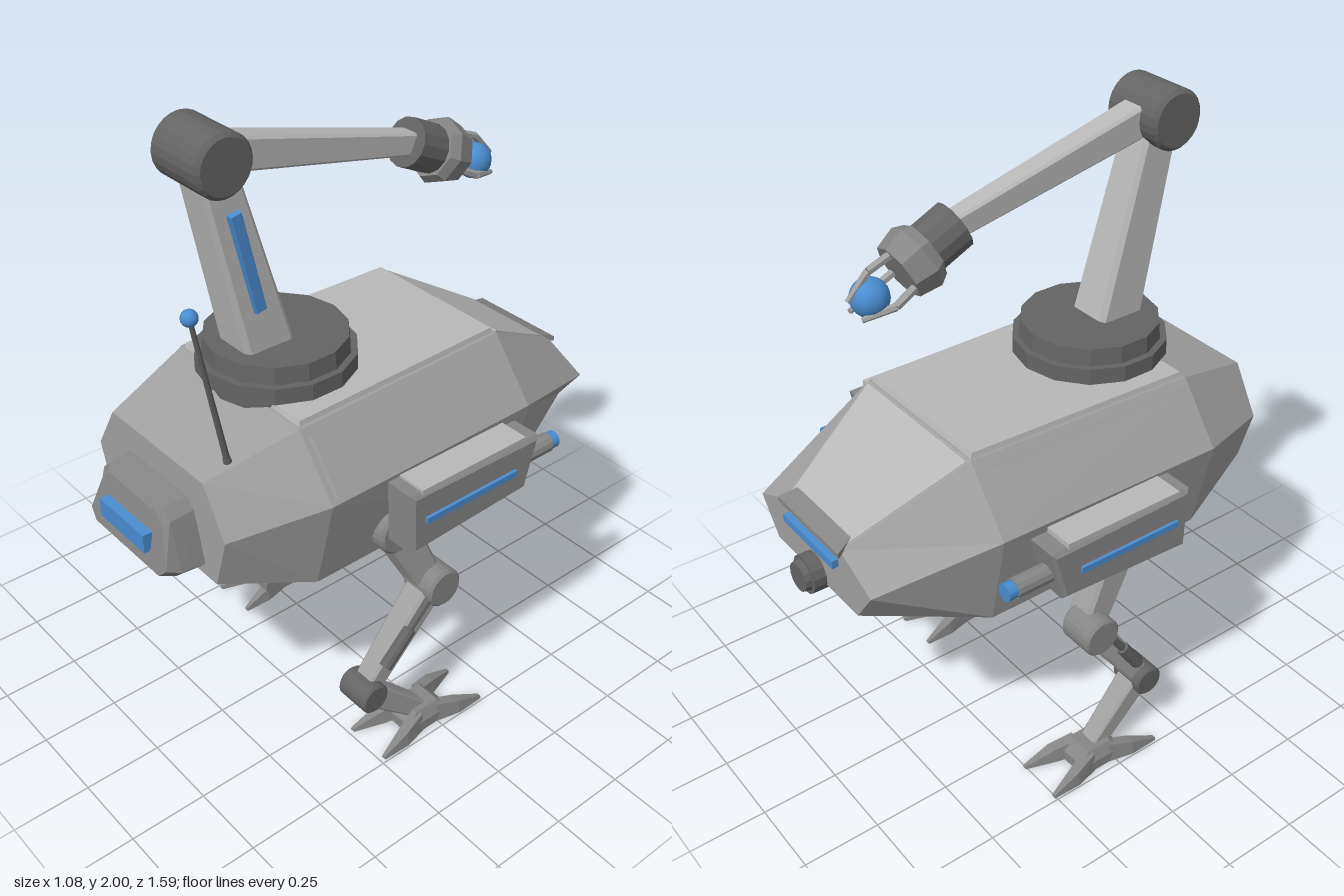
import * as THREE from 'three';

const paint = (color, flatShading = true) => new THREE.MeshStandardMaterial({ color, flatShading });
const grey = paint(0xa0a0a0);
const light = paint(0xb8b8b8);
const mid = paint(0x868686);
const dark = paint(0x646464);
const blue = paint(0x4a8cd0, false);
const V = (x, y, z) => new THREE.Vector3(x, y, z);

export function createModel() {
  const model = new THREE.Group();

  function add(name, geometry, material = grey) {
    const mesh = new THREE.Mesh(geometry, material);
    mesh.name = name;
    model.add(mesh);
    return mesh;
  }

  // Solid skinned over rings of points, with flat end caps
  function loft(name, rings, material = grey) {
    const tris = [];
    const n = rings[0].length;
    for (let r = 0; r < rings.length - 1; r++) {
      for (let i = 0; i < n; i++) {
        const j = (i + 1) % n, a = rings[r], b = rings[r + 1];
        tris.push([a[i], a[j], b[j]], [a[i], b[j], b[i]]);
      }
    }
    const first = rings[0], last = rings[rings.length - 1];
    for (let i = 1; i < n - 1; i++) {
      tris.push([first[0], first[i + 1], first[i]], [last[0], last[i], last[i + 1]]);
    }
    // Signed volume decides which way the faces must wind
    const volume = tris.reduce((s, [a, b, c]) => s + a.dot(b.clone().cross(c)), 0);
    if (volume < 0) tris.forEach((t) => t.reverse());
    const geometry = new THREE.BufferGeometry().setFromPoints(tris.flat());
    geometry.computeVertexNormals();
    return add(name, geometry, material);
  }

  // Tapered, chamfered bar from a to b: w is width in x, d is depth
  function bar(name, a, b, wa, da, wb, db, material = grey) {
    const dir = b.clone().sub(a).normalize();
    const up = V(1, 0, 0).cross(dir).normalize();
    const ring = (p, w, d) => {
      const c = Math.min(w, d) * 0.1, x = w / 2, y = d / 2;
      return [[x, y - c], [x - c, y], [c - x, y], [-x, y - c], [-x, c - y], [c - x, -y], [x - c, -y], [x, c - y]]
        .map(([u, v]) => V(p.x + u, p.y, p.z).addScaledVector(up, v));
    };
    return loft(name, [ring(a, wa, da), ring(b, wb, db)], material);
  }

  // Thin plate raised from four corners along their normal
  function plate(name, corners, t, material, side = 1) {
    const [a, b, , d] = corners;
    const normal = b.clone().sub(a).cross(d.clone().sub(a)).normalize().multiplyScalar(side);
    const middle = corners.reduce((s, p) => s.add(p), V(0, 0, 0)).multiplyScalar(0.25);
    const top = corners.map((p) => p.clone().lerp(middle, 0.03).addScaledVector(normal, t));
    return loft(name, [corners.map((p) => p.clone().addScaledVector(normal, -0.02)), top], material);
  }

  function rod(name, a, b, ra, rb, sides = 12, material = grey) {
    const mesh = add(name, new THREE.CylinderGeometry(rb, ra, a.distanceTo(b), sides), material);
    mesh.position.copy(a).lerp(b, 0.5);
    mesh.quaternion.setFromUnitVectors(V(0, 1, 0), b.clone().sub(a).normalize());
    return mesh;
  }

  // Drum with chamfered rims, lying along x
  function drum(name, p, r, length, material) {
    const c = r * 0.13, h = length / 2;
    const profile = [[0, -h], [r - c, -h], [r, c - h], [r, h - c], [r - c, h], [0, h]]
      .map(([x, y]) => new THREE.Vector2(x, y));
    const mesh = add(name, new THREE.LatheGeometry(profile, 24), material);
    mesh.rotation.z = Math.PI / 2;
    mesh.position.copy(p);
  }

  function box(name, p, w, h, d, material = grey) {
    add(name, new THREE.BoxGeometry(w, h, d), material).position.copy(p);
  }

  function ball(name, p, r) {
    add(name, new THREE.SphereGeometry(r, 20, 14), blue).position.copy(p);
  }

  // Hull: z, top y and half width, waist y and half width, bottom y and half width
  const hull = [
    [0.66, 1.11, 0.22, 0.96, 0.31, 0.79, 0.26],
    [0.38, 1.19, 0.28, 1.01, 0.42, 0.705, 0.35],
    [-0.38, 1.195, 0.26, 1.01, 0.41, 0.705, 0.35],
    [-0.74, 0.99, 0.15, 0.92, 0.3, 0.81, 0.22],
  ].map(([z, ty, tx, my, mx, by, bx]) => [
    V(tx, ty, z), V(mx, my, z), V(bx, by, z), V(-bx, by, z), V(-mx, my, z), V(-tx, ty, z)]);
  loft('hull', hull);
  plate('topPanel', [V(-0.275, 1.19, 0.38), V(0.275, 1.19, 0.38), V(0.255, 1.195, -0.38), V(-0.255, 1.195, -0.38)], 0.016, light);
  plate('nosePanel', [V(-0.258, 1.194, -0.382), V(0.258, 1.194, -0.382), V(0.15, 0.99, -0.738), V(-0.15, 0.99, -0.738)], 0.003, light);
  for (const s of [1, -1]) {
    plate('shoulderPanel', [V(s * 0.298, 1.168, 0.37), V(s * 0.41, 1.022, 0.37),
      V(s * 0.402, 1.022, -0.335), V(s * 0.28, 1.17, -0.335)], 0.012, grey, s);
  }

  // Belly plate
  const belly = (y, i) => [V(0.27 - i, y, 0.5 - i), V(0.27 - i, y, -0.36 + i), V(-0.27 + i, y, -0.36 + i), V(-0.27 + i, y, 0.5 - i)];
  loft('bellyPlate', [belly(0.71, 0), belly(0.682, 0), belly(0.67, 0.012)], mid);

  // Rear housing and lamp
  const rear = (z, ty, tx, by, bx, c = 0.03) => [
    V(tx - c, ty, z), V(tx, ty - c, z), V(bx, by + c, z), V(bx - c, by, z),
    V(c - bx, by, z), V(-bx, by + c, z), V(-tx, ty - c, z), V(c - tx, ty, z)];
  const housing = [rear(0.64, 1.025, 0.17, 0.8, 0.21), rear(0.735, 1.015, 0.165, 0.805, 0.205), rear(0.765, 0.995, 0.15, 0.82, 0.19)];
  housing[2].forEach((p) => { p.z += (0.9 - p.y) * 0.2; });
  loft('rearHousing', housing, mid);
  box('rearLamp', V(0, 0.902, 0.775), 0.22, 0.06, 0.03, blue);

  // Nose hood, visor strip and camera
  loft('noseHood', [
    [V(-0.13, 1.03, -0.66), V(0.13, 1.03, -0.66), V(0.13, 1.0, -0.66), V(-0.13, 1.0, -0.66)],
    [V(-0.165, 0.995, -0.755), V(0.165, 0.995, -0.755), V(0.165, 0.98, -0.755), V(-0.165, 0.98, -0.755)]], mid);
  box('visor', V(0, 0.94, -0.745), 0.27, 0.025, 0.03, blue);
  rod('cameraBody', V(0, 0.83, -0.66), V(0, 0.83, -0.78), 0.06, 0.06, 14, dark);
  rod('cameraRim', V(0, 0.83, -0.775), V(0, 0.83, -0.8), 0.05, 0.045, 14, dark);

  // Turret
  rod('turretFoot', V(0, 1.17, 0.24), V(0, 1.225, 0.24), 0.2, 0.2, 14, dark);
  rod('turretRing', V(0, 1.222, 0.24), V(0, 1.272, 0.24), 0.235, 0.235, 14, dark);
  rod('turretCap', V(0, 1.27, 0.24), V(0, 1.325, 0.24), 0.215, 0.21, 14, dark);

  // Arm
  const elbow = V(0, 1.91, 0.455);
  bar('upperArm', V(0, 1.31, 0.305), elbow, 0.145, 0.16, 0.115, 0.115, light);
  bar('upperArmLight', V(0.07, 1.455, 0.345), V(0.07, 1.76, 0.415), 0.025, 0.036, 0.025, 0.036, blue);
  drum('elbow', elbow, 0.09, 0.21, dark);
  bar('forearm', V(0, 1.915, 0.44), V(0, 1.75, -0.26), 0.085, 0.1, 0.065, 0.065, light);

  // Wrist and gripper
  const wrist = V(0, 1.755, -0.235), reach = V(0, -0.43, -0.9).normalize();
  const along = (t) => wrist.clone().addScaledVector(reach, t);
  rod('wrist', along(0), along(0.12), 0.073, 0.073, 14, dark);
  rod('gripperCollar', along(0.105), along(0.135), 0.085, 0.1, 8, mid);
  rod('gripperBody', along(0.135), along(0.2), 0.1, 0.085, 8, mid);
  ball('gripperOrb', along(0.302), 0.055);
  const lift = V(1, 0, 0).cross(reach).normalize();
  for (let i = 0; i < 3; i++) {
    const a = Math.PI / 2 + i * Math.PI * 2 / 3;
    const out = V(Math.cos(a), 0, 0).addScaledVector(lift, Math.sin(a));
    const p = [[0.17, 0.06], [0.27, 0.068], [0.36, 0.035]].map(([t, r]) => along(t).addScaledVector(out, r));
    rod('gripperFinger', p[0], p[1], 0.013, 0.012, 6);
    rod('gripperFingerTip', p[1], p[2], 0.012, 0.008, 6);
  }

  // Antenna
  rod('antenna', V(0.21, 1.11, 0.565), V(0.258, 1.64, 0.69), 0.01, 0.007, 8, dark);
  rod('antennaFoot', V(0.21, 1.11, 0.565), V(0.213, 1.15, 0.574), 0.014, 0.012, 8, dark);
  ball('antennaTip', V(0.258, 1.64, 0.69), 0.023);

  for (const s of [1, -1]) {
    // Side pod with light strip and barrel
    const pod = (x, i) => [[1.01 - i, 0.19 - i], [1.0 - i, -0.305 + i], [0.83 + i, -0.265 + i], [0.81 + i, 0.185 - i]]
      .map(([y, z]) => V(s * x, y, z));
    loft('sidePod', [pod(0.415, 0.012), pod(0.428, 0), pod(0.518, 0), pod(0.53, 0.012)], mid);
    box('podMount', V(s * 0.4, 0.92, -0.05), 0.08, 0.1, 0.3, mid);
    box('podLid', V(s * 0.478, 1.008, -0.05), 0.095, 0.018, 0.4, light);
    box('podLight', V(s * 0.53, 0.915, -0.035), 0.02, 0.02, 0.35, blue);
    rod('barrel', V(s * 0.475, 0.905, -0.27), V(s * 0.475, 0.905, -0.4), 0.031, 0.031, 12, mid);
    rod('barrelTip', V(s * 0.475, 0.905, -0.395), V(s * 0.475, 0.905, -0.43), 0.027, 0.027, 12, blue);

    // Leg: the two sides stand in different steps
    const ankleZ = s > 0 ? 0.245 : 0.145, footZ = s > 0 ? 0.03 : -0.05;
    const knee = V(s * 0.38, 0.505, -0.04), ankle = V(s * 0.397, 0.235, ankleZ);
    drum('hip', V(s * 0.365, 0.785, 0.115), 0.077, 0.09, mid);
    bar('thigh', V(s * 0.325, 0.8, 0.11), V(s * 0.35, 0.5, -0.035), 0.11, 0.12, 0.09, 0.09);
    drum('knee', knee, 0.064, 0.125, mid);
    bar('shin', V(s * 0.372, 0.505, -0.04), ankle, 0.09, 0.09, 0.07, 0.065);
    const piston = (t) => knee.clone().lerp(ankle, t).add(V(s * (0.045 - 0.01 * t), 0.015, 0.015));
    rod('pistonSleeve', piston(0.4), piston(0.75), 0.021, 0.021, 10, dark);
    rod('pistonRod', piston(0.05), piston(0.45), 0.012, 0.012, 8, dark);
    drum('ankle', ankle, 0.05, 0.12, dark);
    bar('foreShin', ankle, V(s * 0.405, 0.045, footZ + 0.01), 0.08, 0.08, 0.065, 0.06);

    // Foot pad with two toes forward and two back
    const pad = (y, w, d) => [[w, d], [w, -d], [-w, -d], [-w, d]].map(([x, z]) => V(s * 0.41 + x, y, footZ + z));
    loft('footPad', [pad(0, 0.065, 0.08), pad(0.035, 0.065, 0.08), pad(0.07, 0.045, 0.045)], mid);
    for (const f of [1, -1]) {
      for (const e of [1, -1]) {
        const toe = (x, z, w, h) => [[-w, 0], [w, 0], [w * 0.7, h], [-w * 0.7, h]]
          .map(([u, y]) => V(s * 0.41 + e * x + u, y, footZ + f * z));
        loft('toe', [toe(0.04, 0.03, 0.026, 0.064), toe(0.06, 0.11, 0.025, 0.045), toe(0.075, 0.205, 0.008, 0.01)], mid);
      }
    }
  }
  return model;
}
